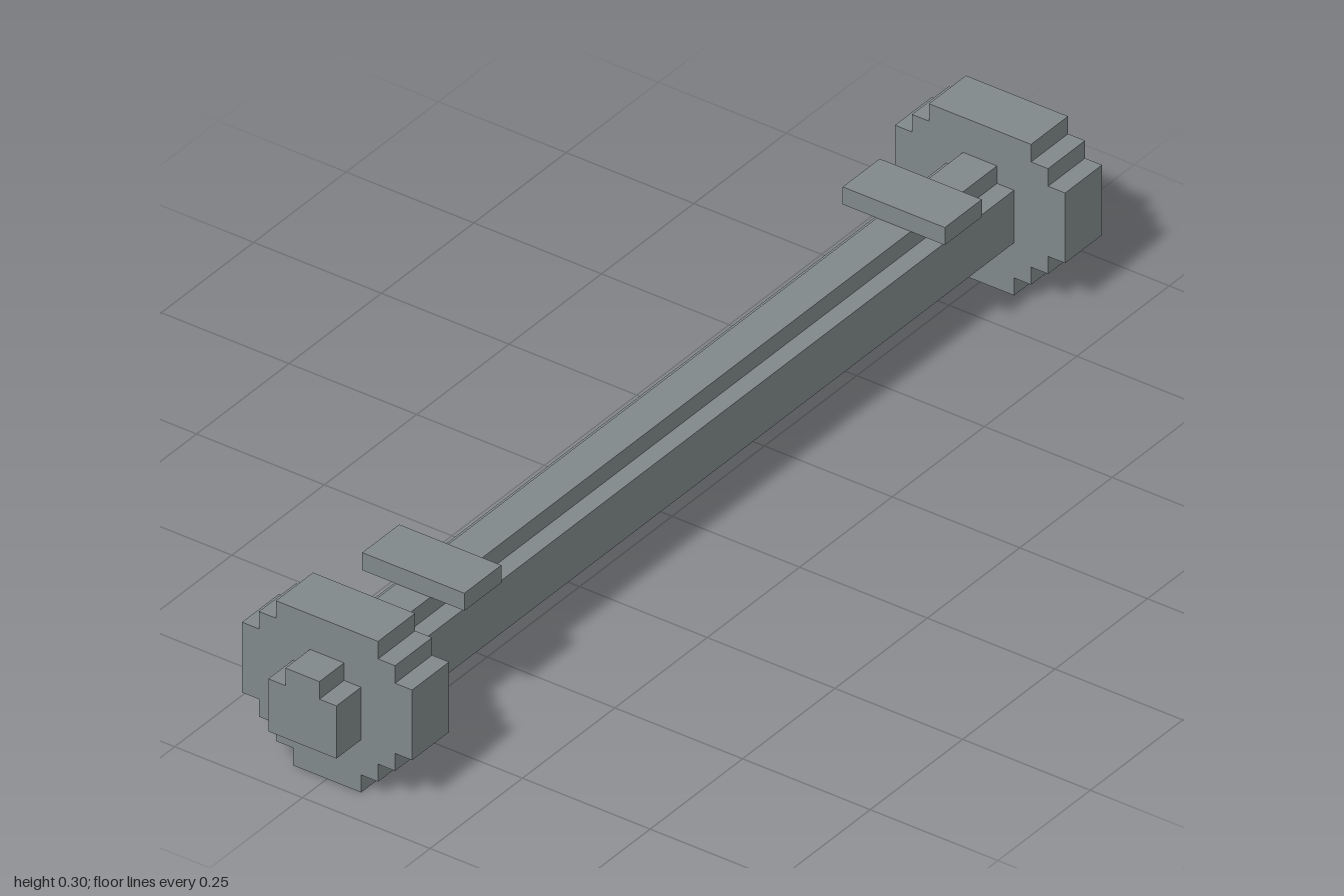
import * as THREE from 'three';

const U = 1 / 30; // block unit

// Mirrored stepped outline from [halfWidth, yBottom, yTop] rows, extruded along z
function steppedBar(name, rows, z0, z1, material) {
  const right = rows.flatMap(([w, y0, y1]) => [[w, y0], [w, y1]]);
  const left = right.map(([x, y]) => [-x, y]).reverse();
  const shape = new THREE.Shape([...right, ...left].map(([x, y]) => new THREE.Vector2(x * U, y * U)));
  const geometry = new THREE.ExtrudeGeometry(shape, { depth: (z1 - z0) * U, bevelEnabled: false });
  geometry.translate(0, 0, z0 * U);
  const mesh = new THREE.Mesh(geometry, material);
  mesh.name = name;
  return mesh;
}

export function createModel() {
  const group = new THREE.Group();
  group.name = 'blockyBarbell';
  const steel = new THREE.MeshStandardMaterial({ color: 0x80888a });
  steel.name = 'grey steel';

  // Long shaft with a narrow raised rail
  group.add(steppedBar('shaft', [[2, 3, 6], [1, 6, 7]], -30, 30, steel));

  // Stepped round discs and flat cross plates at both ends
  const disc = [[2, 0, 1], [3, 1, 2], [4, 2, 3], [5, 3, 7], [4, 7, 8], [3, 8, 9]];
  const plate = [[3, 7, 8]];
  for (const [end, s] of [['front', 1], ['back', -1]]) {
    const span = (a, b) => (s > 0 ? [a, b] : [-b, -a]);
    group.add(steppedBar(end + 'Disc', disc, ...span(25, 28), steel));
    group.add(steppedBar(end + 'CrossPlate', plate, ...span(18, 21), steel));
  }
  return group;
}
